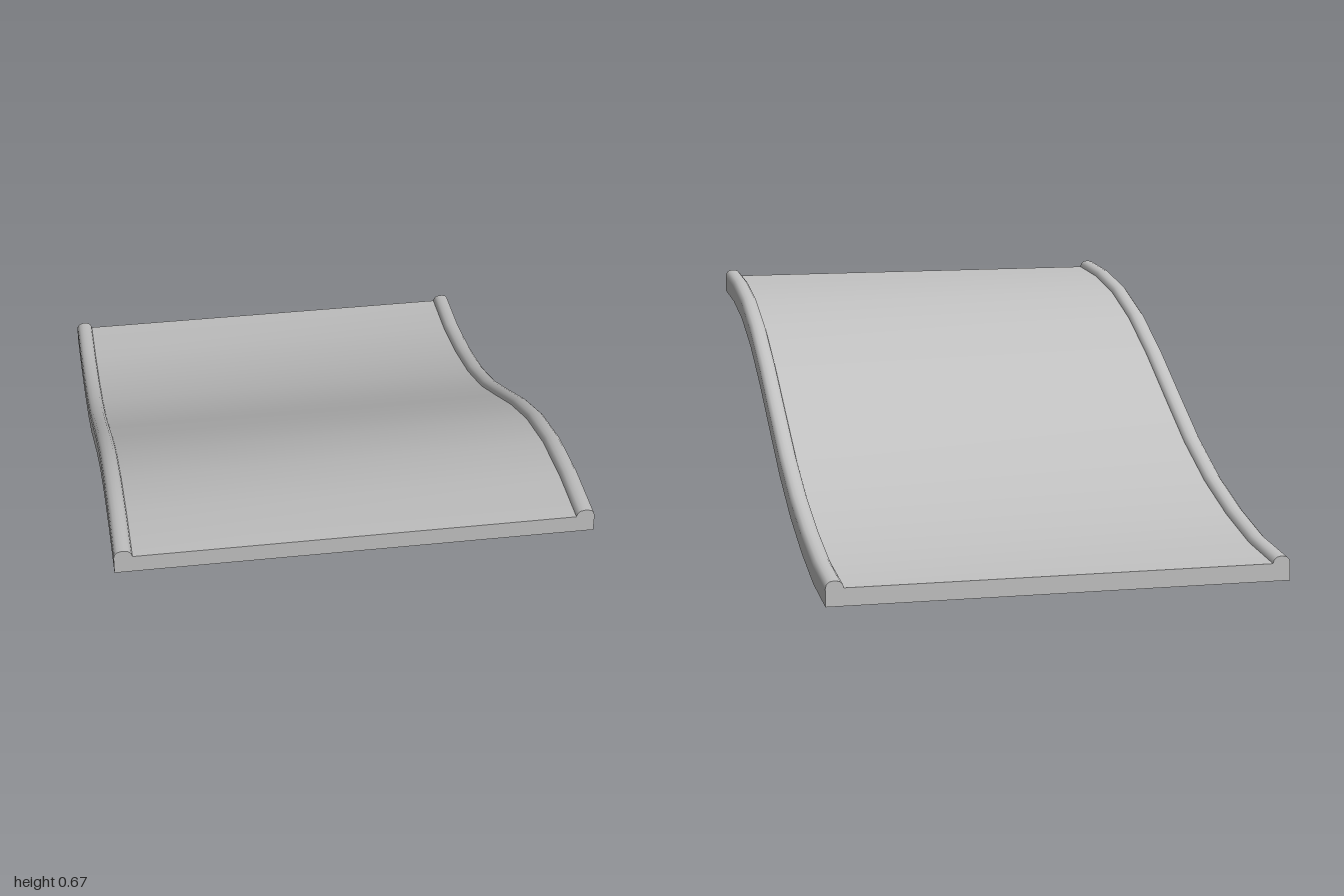
import * as THREE from 'three';
import { mergeGeometries } from 'three/addons/utils/BufferGeometryUtils.js';

// underside height at stations from the raised front end (z = 1) to the low back end (z = -1)
const HEIGHTS = [0.603, 0.592, 0.56, 0.498, 0.407, 0.3, 0.195, 0.113, 0.055, 0.015, 0];
const stations = HEIGHTS.map((y, i) => ({ y, z: 1 - 0.2 * i }));

const DECK = 0.05, TOP = 0.07, INNER = 0.6, OUTER = 0.65;

function geometryFrom(positions, indices) {
  const g = new THREE.BufferGeometry();
  g.setAttribute('position', new THREE.Float32BufferAttribute(positions, 3));
  g.setIndex(indices);
  g.computeVertexNormals();
  return g;
}

// Sweeps one run of section points along the slope; smooth within the run
function strip(run) {
  const pos = [], idx = [], n = run.length;
  for (const s of stations) for (const [x, y] of run) pos.push(x, y + s.y, s.z);
  for (let i = 0; i < stations.length - 1; i++) {
    for (let j = 0; j < n - 1; j++) {
      const p0 = i * n + j, q0 = p0 + 1, p1 = p0 + n, q1 = p1 + 1;
      idx.push(p0, p1, q0, p1, q1, q0);
    }
  }
  return geometryFrom(pos, idx);
}

// Flat end face of the section
function cap(outline, station, back) {
  const pts = outline.map(([x, y]) => new THREE.Vector2(x, y));
  const pos = outline.flatMap(([x, y]) => [x, y + station.y, station.z]);
  const idx = THREE.ShapeUtils.triangulateShape(pts, [])
    .flatMap(([a, b, c]) => (back ? [a, c, b] : [a, b, c]));
  return geometryFrom(pos, idx);
}

// Runs go counter-clockwise round the section; creases fall between runs
function sweep(runs) {
  const outline = runs.flatMap((run) => run.slice(0, -1));
  return mergeGeometries([
    ...runs.map(strip),
    cap(outline, stations[0], false),
    cap(outline, stations[stations.length - 1], true),
  ]);
}

const mirrored = (runs) =>
  runs.map((run) => run.map(([x, y]) => [-x, y]).reverse()).reverse();

export function createModel() {
  const group = new THREE.Group();
  const grey = new THREE.MeshStandardMaterial({ color: 0xc0c0c0 });
  grey.name = 'grey';

  const add = (name, runs) => {
    const mesh = new THREE.Mesh(sweep(runs), grey);
    mesh.name = name;
    group.add(mesh);
  };

  // wide curved deck
  const a = [-INNER, 0], b = [INNER, 0], c = [INNER, DECK], d = [-INNER, DECK];
  add('deck', [[a, b], [b, c], [c, d], [d, a]]);

  // raised curbs with rounded tops
  const r = 0.02, crown = [];
  for (const [cx, start] of [[OUTER - r, 0], [INNER + r, Math.PI / 2]]) {
    for (let k = 0; k <= 3; k++) {
      const t = start + (k / 3) * (Math.PI / 2);
      crown.push([cx + r * Math.cos(t), TOP - r + r * Math.sin(t)]);
    }
  }
  const innerFoot = [INNER, 0], outerFoot = [OUTER, 0];
  const curb = [
    [innerFoot, outerFoot],
    [outerFoot, crown[0]],
    crown,
    [crown[crown.length - 1], innerFoot],
  ];
  add('leftCurb', curb);
  add('rightCurb', mirrored(curb));

  return group;
}
